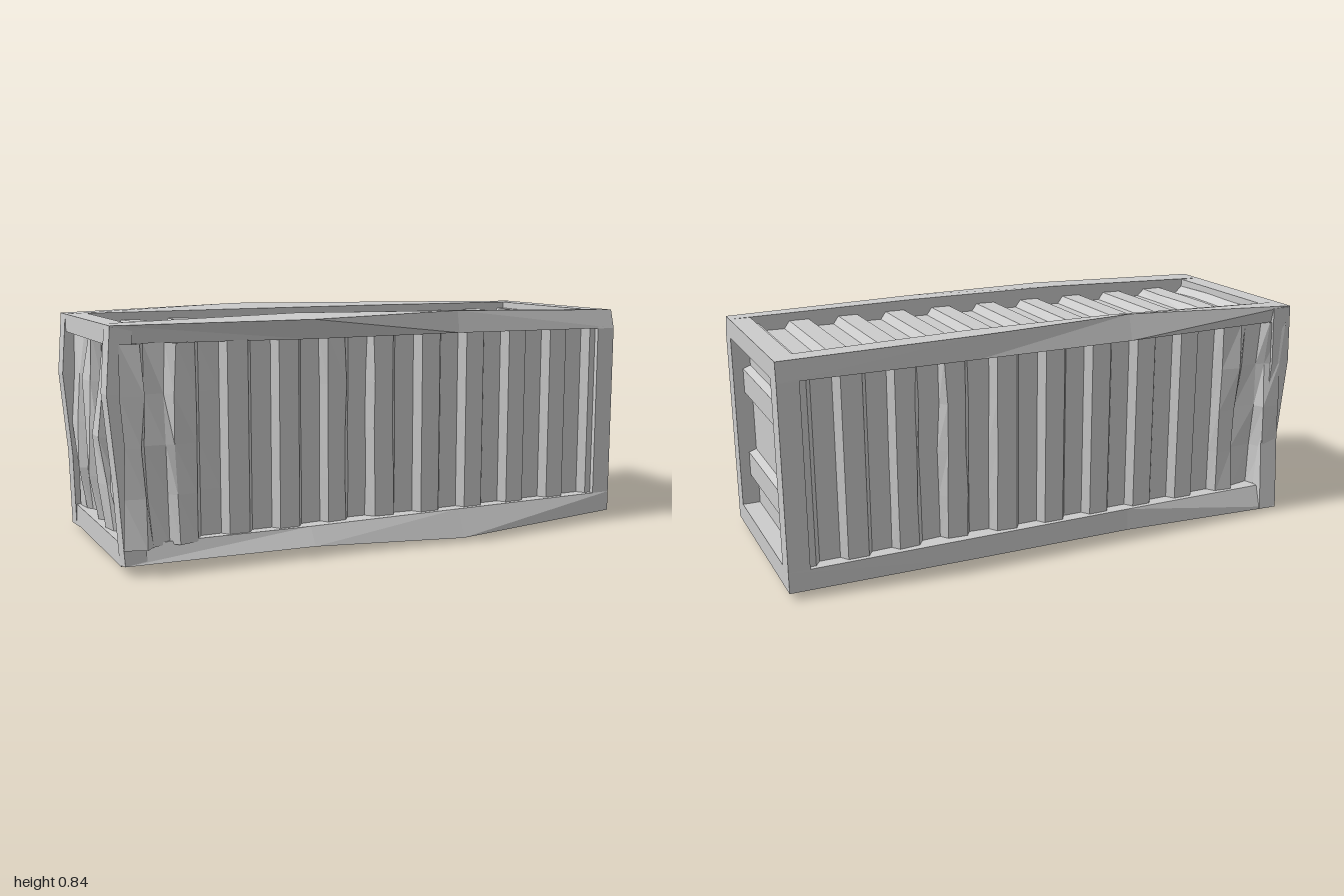
import * as THREE from 'three';

const metal = new THREE.MeshStandardMaterial({ color: 0xcccccc, flatShading: true, side: THREE.DoubleSide });

function add(group, name, geometry) {
  const mesh = new THREE.Mesh(geometry, metal);
  mesh.name = name;
  group.add(mesh);
  return mesh;
}

function box(group, name, x0, x1, y0, y1, z0, z1) {
  add(group, name, new THREE.BoxGeometry(x1 - x0, y1 - y0, z1 - z0))
    .position.set((x0 + x1) / 2, (y0 + y1) / 2, (z0 + z1) / 2);
}

// Joins four-cornered sections into a closed bar, turned so faces point outwards
function loft(rings) {
  const tris = [];
  const quad = (a, b, c, d) => tris.push([a, b, c], [a, c, d]);
  for (let i = 0; i < rings.length - 1; i++) {
    for (let k = 0; k < 4; k++) {
      const n = (k + 1) % 4;
      quad(rings[i][k], rings[i][n], rings[i + 1][n], rings[i + 1][k]);
    }
  }
  const last = rings[rings.length - 1];
  quad(rings[0][3], rings[0][2], rings[0][1], rings[0][0]);
  quad(last[0], last[1], last[2], last[3]);
  const v = (p) => new THREE.Vector3(...p);
  const volume = tris.reduce((s, t) => s + v(t[0]).dot(v(t[1]).cross(v(t[2]))), 0);
  if (volume < 0) tris.forEach((t) => t.reverse());
  const geometry = new THREE.BufferGeometry();
  geometry.setAttribute('position', new THREE.Float32BufferAttribute(tris.flat(2), 3));
  geometry.computeVertexNormals();
  return geometry;
}

// Repeatable value from -1 to 1 for the crumpling
function noise(a, b) {
  const s = Math.sin(a * 127.1 + b * 311.7) * 43758.5453;
  return (s - Math.floor(s)) * 2 - 1;
}

// Corrugated sheet: u runs across the ribs, v along them; h is 1 on a rib and 0 in a groove
function corrugated(u0, u1, v0, v1, rows, place) {
  const us = [u0], hs = [1];
  const widths = [0.073, 0.02, 0.073, 0.02], heights = [1, 0, 0, 1];
  for (let i = 0; us[i] < u1 - 0.001; i++) {
    us.push(Math.min(u1, us[i] + widths[i % 4]));
    hs.push(heights[i % 4]);
  }
  const n = us.length - 1;
  const geometry = new THREE.PlaneGeometry(1, 1, n, rows);
  const pos = geometry.attributes.position;
  for (let j = 0; j <= rows; j++) {
    for (let i = 0; i <= n; i++) {
      const p = place(us[i], v0 + (v1 - v0) * j / rows, hs[i], i, j);
      pos.setXYZ(j * (n + 1) + i, ...p);
    }
  }
  geometry.computeVertexNormals();
  return geometry;
}

export function createModel() {
  const model = new THREE.Group();
  model.name = 'dentedContainer';

  // Bent long rails; station: x, outer y, outer z, face y, face z, inner z, inner edge y
  const rails = {
    topFrontRail: [
      [-0.98, 0.82, 0.33, 0.76, 0.315, 0.23, 0.82], [-0.3, 0.825, 0.41, 0.755, 0.368, 0.25, 0.838],
      [0.3, 0.835, 0.345, 0.755, 0.36, 0.28, 0.832], [0.995, 0.82, 0.35, 0.75, 0.37, 0.29, 0.82]],
    topBackRail: [
      [-0.98, 0.82, -0.39, 0.76, -0.37, -0.31, 0.82], [-0.3, 0.843, -0.34, 0.75, -0.365, -0.25, 0.825],
      [0.3, 0.832, -0.365, 0.75, -0.37, -0.25, 0.825], [0.995, 0.82, -0.365, 0.75, -0.37, -0.295, 0.82]],
    bottomFrontRail: [
      [-0.96, 0.035, 0.365, 0.1, 0.345, 0.29, 0.022], [-0.3, 0.037, 0.41, 0.1, 0.37, 0.29, 0.022],
      [0.3, 0, 0.415, 0.1, 0.37, 0.29, 0.022], [0.995, 0.025, 0.37, 0.1, 0.37, 0.295, 0.025]],
    bottomBackRail: [
      [-0.96, 0.01, -0.41, 0.1, -0.375, -0.29, 0.02], [-0.3, 0.018, -0.375, 0.1, -0.37, -0.29, 0.022],
      [0.3, 0.02, -0.372, 0.1, -0.37, -0.29, 0.022], [0.995, 0.025, -0.37, 0.1, -0.37, -0.295, 0.025]],
  };
  for (const [name, stations] of Object.entries(rails)) {
    add(model, name, loft(stations.map(([x, yo, zo, yf, zf, zi, yi]) =>
      [[x, yo, zo], [x, yf, zf], [x, yf, zi], [x, yi, zi]])));
  }

  // Corner posts; station: y, outer x, outer z. The right end is buckled
  const posts = {
    leftFrontPost: [[0.03, 0.995, 0.37], [0.75, 0.995, 0.37], [0.815, 0.995, 0.35]],
    leftBackPost: [[0.03, 0.995, -0.37], [0.75, 0.995, -0.37], [0.815, 0.995, -0.365]],
    rightFrontPost: [[0.035, -0.96, 0.365], [0.3, -0.975, 0.355], [0.6, -1, 0.345], [0.815, -0.98, 0.33]],
    rightBackPost: [[0.015, -0.96, -0.41], [0.3, -0.975, -0.37], [0.6, -1, -0.375], [0.815, -0.98, -0.39]],
  };
  for (const [name, stations] of Object.entries(posts)) {
    add(model, name, loft(stations.map(([y, x, z]) => {
      const xi = x - Math.sign(x) * 0.075, zi = z - Math.sign(z) * 0.075;
      return [[x, y, z], [xi, y, z], [xi, y, zi], [x, y, zi]];
    })));
  }

  // Crossbars at both ends
  box(model, 'leftTopCrossbar', 0.92, 0.995, 0.75, 0.82, -0.31, 0.31);
  box(model, 'leftBottomCrossbar', 0.92, 0.995, 0.025, 0.1, -0.31, 0.31);
  box(model, 'rightTopCrossbar', -0.98, -0.9, 0.755, 0.82, -0.33, 0.27);
  box(model, 'rightBottomCrossbar', -0.96, -0.88, 0.022, 0.1, -0.36, 0.31);

  // Long walls: crumpled outwards at the right end, with one shallow dent each
  for (const side of [1, -1]) {
    const dentX = side > 0 ? -0.1 : 0.4;
    add(model, side > 0 ? 'frontWall' : 'backWall', corrugated(-0.965, 0.93, 0.09, 0.76, 4, (x, y, h, i, j) => {
      const crush = Math.min(1, Math.max(0, (-0.68 - x) / 0.18));
      const dent = Math.max(0, 1 - Math.abs(x - dentX) / 0.25);
      const seed = i + side * 40;
      const lean = side > 0 ? (0.76 - y) * 0.05 : (y - 0.1) * 0.04;
      const z = 0.322 + 0.03 * h - 0.02 * dent + crush * (lean + 0.018 * noise(seed, j));
      const slide = (crush + 0.5 * dent) * 0.014 * noise(seed + 5, j);
      return [x + slide, y, side * z];
    }));
  }

  // Crumpled right end wall
  add(model, 'rightEndWall', corrugated(-0.31, 0.3, 0.09, 0.77, 4, (z, y, h, i, j) => {
    const bulge = 0.03 * Math.sin(Math.PI * (y - 0.09) / 0.68);
    return [-0.91 - 0.03 * h - bulge - 0.012 * noise(i, j + 20), y, z + 0.012 * noise(i + 7, j)];
  }));

  // Ribbed roof
  add(model, 'roof', corrugated(-0.97, 0.93, -0.32, 0.3, 3, (x, z, h, i, j) => {
    const crush = Math.min(1, Math.max(0, (-0.5 - x) / 0.3));
    return [x + crush * 0.012 * noise(i, j), 0.766 + 0.028 * h + crush * 0.006 * noise(i + 3, j), z];
  }));

  // Left end doors with two horizontal raised bands
  const profile = [
    [0.09, 0], [0.205, 0], [0.215, 1], [0.305, 1], [0.315, 0],
    [0.53, 0], [0.54, 1], [0.63, 1], [0.64, 0], [0.76, 0]];
  const doors = new THREE.PlaneGeometry(1, 1, 2, profile.length - 1);
  profile.forEach(([y, h], j) => {
    for (let i = 0; i < 3; i++) {
      doors.attributes.position.setXYZ(j * 3 + i, 0.93 + 0.028 * h, y, 0.31 - i * 0.31);
    }
  });
  doors.computeVertexNormals();
  add(model, 'doors', doors);

  // Recessed floor
  box(model, 'floor', -0.92, 0.95, 0.045, 0.07, -0.33, 0.33);

  return model;
}
